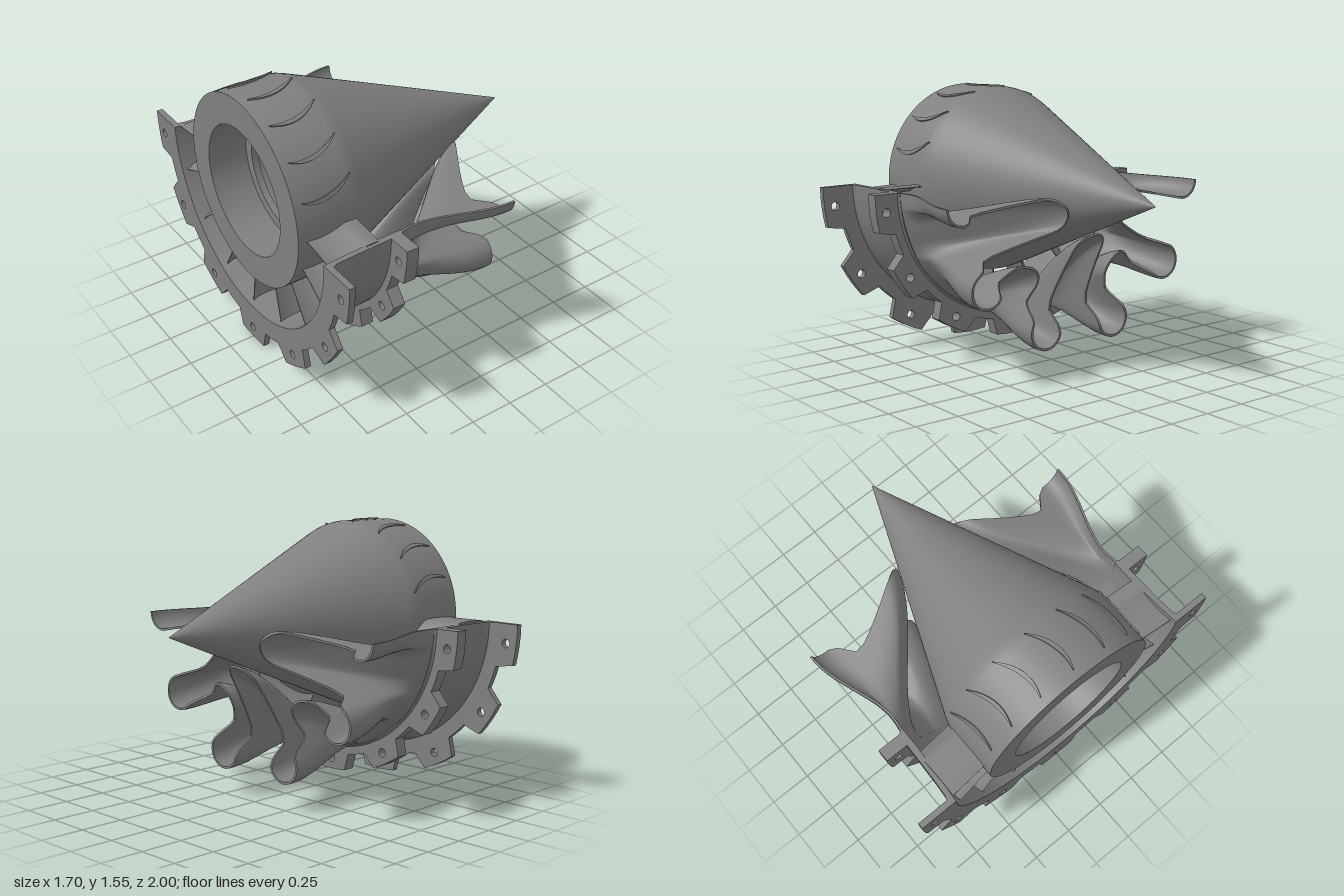
import * as THREE from 'three';
import { toCreasedNormals } from 'three/addons/utils/BufferGeometryUtils.js';

const RAD = Math.PI / 180;
const lerp = THREE.MathUtils.lerp;
const smooth = THREE.MathUtils.smoothstep;
const solid = new THREE.MeshStandardMaterial({ color: 0x808080 });
const thin = new THREE.MeshStandardMaterial({ color: 0x808080, side: THREE.DoubleSide });

function add(parent, name, geometry, material = solid) {
  const mesh = new THREE.Mesh(geometry, material);
  mesh.name = name;
  parent.add(mesh);
}

// Point on the engine axis frame: angle is measured from straight down towards +z
const polar = (x, r, a) => new THREE.Vector3(x, -r * Math.cos(a), r * Math.sin(a));

// Thickened sheet from a surface function P(u, v), with closed edges
function shell(P, nu, nv, thickness) {
  const e = 1e-3, sides = [[], []];
  for (let i = 0; i <= nu; i++) {
    for (let j = 0; j <= nv; j++) {
      const u = i / nu, v = j / nv;
      const du = P(Math.min(u + e, 1), v).sub(P(Math.max(u - e, 0), v));
      const dv = P(u, Math.min(v + e, 1)).sub(P(u, Math.max(v - e, 0)));
      const n = du.cross(dv).normalize().multiplyScalar(thickness(u) / 2);
      sides[0].push(P(u, v).add(n));
      sides[1].push(P(u, v).sub(n));
    }
  }
  const pos = [];
  const quad = (a, b, c, d) => [a, b, c, a, c, d].forEach(p => pos.push(p.x, p.y, p.z));
  const at = (s, i, j) => sides[s][i * (nv + 1) + j];
  for (let i = 0; i < nu; i++) {
    for (let j = 0; j < nv; j++) {
      quad(at(0, i, j), at(0, i + 1, j), at(0, i + 1, j + 1), at(0, i, j + 1));
      quad(at(1, i, j), at(1, i, j + 1), at(1, i + 1, j + 1), at(1, i + 1, j));
    }
    quad(at(0, i, 0), at(1, i, 0), at(1, i + 1, 0), at(0, i + 1, 0));
    quad(at(0, i, nv), at(0, i + 1, nv), at(1, i + 1, nv), at(1, i, nv));
  }
  for (let j = 0; j < nv; j++) {
    quad(at(0, 0, j), at(0, 0, j + 1), at(1, 0, j + 1), at(1, 0, j));
    quad(at(0, nu, j), at(1, nu, j), at(1, nu, j + 1), at(0, nu, j + 1));
  }
  const g = new THREE.BufferGeometry();
  g.setAttribute('position', new THREE.Float32BufferAttribute(pos, 3));
  return toCreasedNormals(g, 0.6);
}

// Revolve a profile of [radius, x] about the x axis (half = lower half only)
function revolve(profile, segments, half) {
  const pts = profile.map(p => new THREE.Vector2(p[0], p[1]));
  const g = new THREE.LatheGeometry(pts, segments, 0, half ? Math.PI : Math.PI * 2);
  g.rotateZ(-Math.PI / 2);
  return toCreasedNormals(g, 0.3);
}

// Half ring with seven bolt lugs that widen towards the root
function flange(inner, root, outer, holeR, x0, x1) {
  const step = 360 / 13, pts = [];
  const put = (r, deg) => pts.push(new THREE.Vector2(r * Math.sin(deg * RAD), -r * Math.cos(deg * RAD)));
  for (let k = -3; k <= 3; k++) {
    const c = k * step;
    if (k > -3) for (let i = 0; i <= 6; i++) put(root, c - step + 9.3 + (step - 18.6) * i / 6);
    for (let i = 0; i <= 4; i++) {
      const end = Math.abs(k) === 3 && i === (k > 0 ? 4 : 0);
      put(outer, end ? Math.sign(k) * 90 : c - 6.6 + 3.3 * i);
    }
  }
  for (let i = 0; i <= 60; i++) put(inner, 90 - 3 * i);
  const shape = new THREE.Shape(pts);
  for (let k = -3; k <= 3; k++) {
    const a = k * step * RAD, hole = new THREE.Path();
    hole.absarc(holeR * Math.sin(a), -holeR * Math.cos(a), 0.025, 0, Math.PI * 2, true);
    shape.holes.push(hole);
  }
  const g = new THREE.ExtrudeGeometry(shape, { depth: x1 - x0, bevelEnabled: false, curveSegments: 10 });
  g.rotateY(Math.PI / 2);
  g.translate(x0, 0, 0);
  return toCreasedNormals(g, 0.4);
}

// Lobed surface: a round inlet blending into alternating long and short chutes
function mixerPoint(u, v) {
  const s = u * 10, m = Math.min(Math.floor(s / 2), 4);
  const d = s - 2 * m - 1, f = Math.abs(d), side = Math.sign(d);
  const valley = m % 2 ? 0.49 : 0.21, crest = 0.882, a = 0.1, h = 18 * RAD;
  const valleyArc = t => [a * Math.sin(t), valley + a - a * Math.cos(t)];
  const crestArc = t => {
    const l = -a * Math.sin(t), q = crest - a + a * Math.cos(t);
    return [l * Math.cos(h) + q * Math.sin(h), q * Math.cos(h) - l * Math.sin(h)];
  };
  let p;
  if (f < 0.35) p = valleyArc(f / 0.35 * 84 * RAD);
  else if (f > 0.65) p = crestArc((1 - f) / 0.35 * 100 * RAD);
  else {
    const A = valleyArc(84 * RAD), B = crestArc(100 * RAD), t = (f - 0.35) / 0.3;
    p = [lerp(A[0], B[0], t), lerp(A[1], B[1], t)];
  }
  // scalloped trailing edge
  const r = Math.hypot(p[0], p[1]);
  const exit = r > 0.65 ? 0.14 + 0.12 * smooth(r, 0.65, 0.77) : 0.14 + 0.25 * ((0.65 - r) / 0.44) ** 1.2;
  // chutes sink early, crests dip slightly before they flare
  const sink = 0.3 * v ** 1.3 + 0.7 * smooth(v, 0, 1);
  const w = lerp(sink, smooth(v, 0.16, 0.97), smooth(f, 0.2, 0.9));
  const R = 0.762 - 0.014 * smooth(v, 0, 0.25);
  const l = side * lerp(R * Math.sin(h * f), p[0], w);
  const q = lerp(R * Math.cos(h * f), p[1], w);
  return polar(lerp(-0.42, exit, v), Math.hypot(l, q), (36 * m - 72) * RAD + Math.atan2(l, q));
}

export function createModel() {
  const model = new THREE.Group();
  const engine = new THREE.Group();
  engine.name = 'exhaustMixer';
  engine.position.y = 1;
  model.add(engine);

  // Centre cone with a stepped hollow at the back
  add(engine, 'centreCone', revolve([
    [0, -0.4], [0.34, -0.4], [0.34, -0.58], [0.31, -0.58], [0.31, -0.62], [0.37, -0.62], [0.37, -0.85],
    [0.545, -0.85], [0.546, -0.52], [0.541, -0.49], [0.527, -0.45], [0.003, 0.848], [0, 0.85],
  ], 96, false));

  // Half casing, capped where it is cut
  const wall = [
    [0.775, -0.85], [0.83, -0.82], [0.81, -0.813], [0.802, -0.795], [0.795, -0.7],
    [0.787, -0.46], [0.785, -0.39], [0.768, -0.37], [0.75, -0.38], [0.75, -0.5], [0.77, -0.78], [0.775, -0.85],
  ];
  add(engine, 'casing', revolve(wall, 80, true));
  const capShape = new THREE.Shape(wall.map(p => new THREE.Vector2(p[1], p[0])));
  for (const s of [-1, 1]) {
    const cap = new THREE.ShapeGeometry(capShape);
    cap.rotateX(s * Math.PI / 2);
    add(engine, 'casingCutFace', cap, thin);
  }
  add(engine, 'rearFlange', flange(0.775, 0.895, 1, 0.93, -0.85, -0.815));
  add(engine, 'frontFlange', flange(0.755, 0.825, 0.92, 0.855, -0.455, -0.382));

  // Lobed mixer
  add(engine, 'lobedMixer', shell(mixerPoint, 240, 32, () => 0.013), thin);

  // Curved guide vanes: full span inside the casing, short stubs elsewhere
  for (let k = -4; k < 12; k++) {
    const full = k <= 4, tip = full ? 0.77 : 0.553;
    const vane = (u, v) => {
      const r = lerp(0.53, tip, v), back = 0.08 * Math.max(0, r - 0.553);
      const p = polar(lerp(-0.8, -0.5, u) - back, r, (22.5 * k - 2.1) * RAD - 0.2 * u + 0.32 * u * u);
      if (full) p.y = Math.min(p.y, 0);
      return p;
    };
    const thickness = u => 0.004 + 0.02 * Math.sin(Math.PI * u);
    add(engine, full ? 'guideVane' : 'vaneStub', shell(vane, 16, full ? 4 : 1, thickness), thin);
  }
  return model;
}
